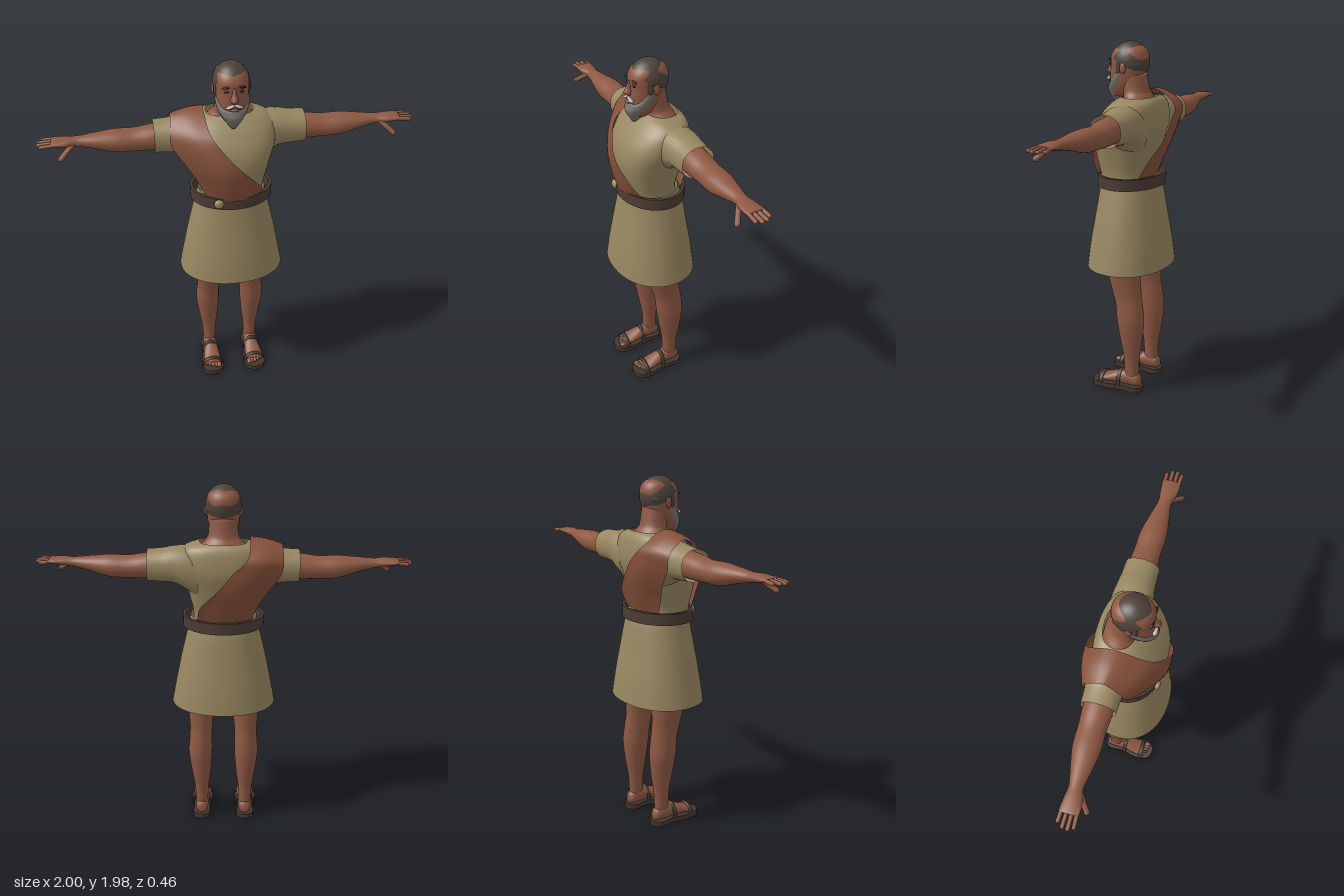
import * as THREE from 'three';
import { toCreasedNormals } from 'three/addons/utils/BufferGeometryUtils.js';

const mat = (name, color, side = THREE.FrontSide) => {
  const m = new THREE.MeshStandardMaterial({ color, side });
  m.name = name;
  return m;
};

// Catmull-Rom through rows of numbers
function smooth(rows, steps) {
  const out = [], last = rows.length - 1;
  for (let i = 0; i < last; i++) {
    const a = rows[Math.max(i - 1, 0)], b = rows[i], c = rows[i + 1], d = rows[Math.min(i + 2, last)];
    for (let s = 0; s < steps; s++) {
      const t = s / steps;
      out.push(b.map((v, k) => {
        const linear = c[k] - a[k];
        const square = 2 * a[k] - 5 * v + 4 * c[k] - d[k];
        const cube = 3 * (v - c[k]) + d[k] - a[k];
        return v + 0.5 * t * (linear + t * (square + t * cube));
      }));
    }
  }
  out.push(rows[last]);
  return out;
}

function buildGeometry(pos, idx) {
  const g = new THREE.BufferGeometry();
  g.setAttribute('position', new THREE.Float32BufferAttribute(pos, 3));
  g.setIndex(idx);
  g.computeVertexNormals();
  return g;
}

// Superellipse rings along an axis; row = [along, centreU, centreV, radiusU, radiusV].
// Axis x: (u,v)=(y,z); axis y: (u,v)=(z,x); axis z: (u,v)=(x,y).
function loft(axis, rows, { n = 2, cap = true, seg = 28, steps = 4 } = {}) {
  const k = 'xyz'.indexOf(axis), rings = smooth(rows, steps), pos = [], idx = [];
  const put = (a, u, v) => {
    const p = [];
    p[k] = a; p[(k + 1) % 3] = u; p[(k + 2) % 3] = v;
    pos.push(...p);
  };
  const pw = (v) => Math.sign(v) * Math.pow(Math.abs(v), 2 / n);
  rings.forEach(([a, u, v, ru, rv], j) => {
    for (let i = 0; i < seg; i++) {
      const t = (i / seg) * Math.PI * 2;
      put(a, u + ru * pw(Math.cos(t)), v + rv * pw(Math.sin(t)));
      if (j === rings.length - 1) continue;
      const p = j * seg + i, q = j * seg + (i + 1) % seg;
      idx.push(p, q, p + seg, q, q + seg, p + seg);
    }
  });
  if (cap) {
    const end = rings.length - 1, c = rings.length * seg;
    put(...rings[0].slice(0, 3));
    put(...rings[end].slice(0, 3));
    for (let i = 0; i < seg; i++) {
      const m = (i + 1) % seg;
      idx.push(c, m, i, c + 1, end * seg + i, end * seg + m);
    }
  }
  return buildGeometry(pos, idx);
}

// Smooth sheet through rows of three points
function sheet(rows) {
  const grid = smooth(rows, 5).map((r) => smooth([r.slice(0, 3), r.slice(3, 6), r.slice(6)], 6));
  const w = grid[0].length, idx = [];
  for (let j = 0; j < grid.length - 1; j++)
    for (let i = 0; i < w - 1; i++) {
      const p = j * w + i;
      idx.push(p, p + 1, p + w, p + 1, p + w + 1, p + w);
    }
  return buildGeometry(grid.flat(2), idx);
}

const ball = (x, y, z, rx, ry, rz, tilt = 0) =>
  new THREE.SphereGeometry(1, 18, 12).scale(rx, ry, rz).rotateZ(tilt).translate(x, y, z);

// Capsule between two points
function rod(from, to, r) {
  const a = new THREE.Vector3(...from), b = new THREE.Vector3(...to), d = b.clone().sub(a);
  const q = new THREE.Quaternion().setFromUnitVectors(new THREE.Vector3(0, 1, 0), d.clone().normalize());
  const mid = a.add(b).multiplyScalar(0.5);
  return new THREE.CapsuleGeometry(r, d.length(), 4, 10).applyQuaternion(q).translate(mid.x, mid.y, mid.z);
}

// Copy reflected across x, with the corner order restored
function mirrored(geo) {
  const g = geo.index ? geo.toNonIndexed() : geo.clone();
  g.scale(-1, 1, 1);
  for (const { array, itemSize: s } of Object.values(g.attributes))
    for (let i = 0; i < array.length; i += 3 * s)
      for (let k = 0; k < s; k++) [array[i + k], array[i + 2 * s + k]] = [array[i + 2 * s + k], array[i + k]];
  return g;
}

export function createModel() {
  const root = new THREE.Group();
  root.name = 'robedMan';
  const skin = mat('skin', 0x8d5843), cloth = mat('tunicCloth', 0x978660, THREE.DoubleSide);
  const sashCloth = mat('sashCloth', 0x85503a, THREE.DoubleSide), beltLeather = mat('beltLeather', 0x4d3c34);
  const sandalLeather = mat('sandalLeather', 0x43372f), hairColor = mat('hair', 0x4e4239);
  const beardColor = mat('greyBeard', 0x76726d), moustacheColor = mat('paleMoustache', 0xb4afa8);
  const brass = mat('brass', 0xa08c5e), dark = mat('eyeDark', 0x2a201b);

  const add = (name, geo, m) => {
    const mesh = new THREE.Mesh(geo, m);
    mesh.name = name;
    root.add(mesh);
  };
  const pair = (name, geo, m) => {
    add('left' + name, geo, m);
    add('right' + name, mirrored(geo), m);
  };

  // Clothing
  add('skirt', loft('y', [[0.75, 0, 0, 0.23, 0.292], [0.88, 0, 0, 0.215, 0.267], [1.03, 0, 0, 0.19, 0.236],
    [1.18, 0, 0, 0.167, 0.2], [1.27, 0.01, 0, 0.15, 0.18]], { cap: false, n: 2.15, seg: 48 }), cloth);
  add('tunicBody', loft('y', [[1.22, 0.01, 0, 0.14, 0.165], [1.28, 0.02, 0, 0.14, 0.165], [1.36, 0.02, 0, 0.16, 0.18],
    [1.45, 0.015, 0, 0.178, 0.203], [1.54, -0.005, 0, 0.178, 0.232], [1.62, -0.028, 0, 0.148, 0.236],
    [1.67, -0.045, 0, 0.115, 0.2], [1.695, -0.05, 0, 0.085, 0.125]], { cap: false, n: 2.4, seg: 48 }), cloth);
  pair('Sleeve', loft('x', [[0.13, 1.53, -0.04, 0.14, 0.12], [0.2, 1.555, -0.05, 0.115, 0.112],
    [0.26, 1.57, -0.055, 0.097, 0.1], [0.33, 1.567, -0.055, 0.088, 0.093], [0.4, 1.567, -0.055, 0.084, 0.09]],
  { cap: false, n: 2.2 }), cloth);

  // Sash: front waist, over the right shoulder, back waist; outer, middle and inner edge
  add('sash', sheet([
    [-0.15, 1.27, 0.12, 0, 1.27, 0.187, 0.155, 1.27, 0.12],
    [-0.19, 1.36, 0.115, -0.04, 1.36, 0.206, 0.13, 1.345, 0.172],
    [-0.245, 1.45, 0.1, -0.1, 1.46, 0.203, 0.03, 1.46, 0.214],
    [-0.315, 1.555, 0.06, -0.18, 1.57, 0.148, -0.06, 1.56, 0.188],
    [-0.318, 1.63, 0.025, -0.22, 1.65, 0.075, -0.125, 1.645, 0.118],
    [-0.31, 1.685, -0.06, -0.22, 1.71, -0.055, -0.14, 1.718, -0.05],
    [-0.315, 1.62, -0.155, -0.22, 1.64, -0.18, -0.13, 1.64, -0.19],
    [-0.3, 1.54, -0.155, -0.17, 1.56, -0.2, -0.05, 1.56, -0.208],
    [-0.235, 1.44, -0.14, -0.1, 1.46, -0.195, 0.03, 1.46, -0.198],
    [-0.19, 1.36, -0.115, -0.04, 1.36, -0.17, 0.12, 1.36, -0.155],
    [-0.15, 1.27, -0.1, 0, 1.27, -0.142, 0.14, 1.27, -0.11]]), sashCloth);

  // Loose belt ring and round buckle
  const ring = new THREE.Shape().absellipse(0, 0, 0.223, 0.178, 0, Math.PI * 2);
  ring.holes.push(new THREE.Path().absellipse(0, 0, 0.207, 0.163, 0, Math.PI * 2, true));
  add('belt', toCreasedNormals(new THREE.ExtrudeGeometry(ring, { depth: 0.064, bevelEnabled: false, curveSegments: 28 })
    .rotateX(-Math.PI / 2).translate(0, 1.212, 0), 0.6), beltLeather);
  add('buckle', ball(-0.09, 1.248, 0.168, 0.026, 0.026, 0.016), brass);

  // Arms and hands
  pair('Arm', loft('x', [[0.2, 1.575, -0.055, 0.075, 0.08], [0.4, 1.563, -0.055, 0.068, 0.076], [0.5, 1.557, -0.055, 0.06, 0.07],
    [0.6, 1.56, -0.052, 0.059, 0.07], [0.7, 1.57, -0.047, 0.041, 0.053], [0.79, 1.577, -0.043, 0.026, 0.036],
    [0.85, 1.582, -0.037, 0.022, 0.046], [0.91, 1.585, -0.038, 0.014, 0.05], [0.925, 1.585, -0.04, 0.009, 0.046]]), skin);
  [[-0.077, 0.965], [-0.05, 0.985], [-0.023, 0.989], [0.003, 0.975]].forEach(([z, tip], i) =>
    pair('Finger' + (i + 1), rod([0.89, 1.586, z * 0.9 - 0.004], [tip, 1.58, z], 0.0105), skin));
  pair('Thumb', rod([0.82, 1.57, -0.012], [0.882, 1.52, 0.033], 0.014), skin);

  // Legs, feet and sandals
  pair('Leg', loft('y', [[0.07, -0.065, 0.128, 0.042, 0.034], [0.2, -0.065, 0.128, 0.046, 0.041], [0.3, -0.065, 0.13, 0.062, 0.055],
    [0.43, -0.06, 0.133, 0.079, 0.068], [0.53, -0.05, 0.13, 0.08, 0.065], [0.6, -0.035, 0.128, 0.085, 0.066],
    [0.7, -0.02, 0.127, 0.097, 0.077], [0.85, -0.005, 0.12, 0.11, 0.095], [1.05, 0, 0.1, 0.12, 0.1]]), skin);
  pair('Foot', loft('z', [[-0.122, 0.128, 0.055, 0.015, 0.018], [-0.105, 0.128, 0.065, 0.034, 0.038], [-0.05, 0.128, 0.072, 0.039, 0.048],
    [0.01, 0.128, 0.065, 0.043, 0.04], [0.07, 0.13, 0.053, 0.05, 0.027], [0.125, 0.13, 0.044, 0.05, 0.016]]), skin);
  for (let i = 0; i < 5; i++)
    pair('Toe' + (i + 1), ball(0.094 + i * 0.0185, 0.043, 0.137 - i * i * 0.002, i ? 0.01 : 0.015, 0.013, 0.023), skin);
  const outline = [[0, 0.135], [0.045, 0.11], [0.046, 0.02], [0.066, -0.09], [0.05, -0.16], [0, -0.18],
    [-0.055, -0.155], [-0.064, -0.08], [-0.046, 0.02], [-0.045, 0.11]];
  const curve = new THREE.CatmullRomCurve3(outline.map(([x, y]) => new THREE.Vector3(x, y, 0)), true);
  const sole = new THREE.Shape(curve.getPoints(48).slice(0, -1).map((p) => new THREE.Vector2(p.x, p.y)));
  pair('Sole', toCreasedNormals(new THREE.ExtrudeGeometry(sole, { depth: 0.03, bevelEnabled: false })
    .rotateX(-Math.PI / 2).translate(0.13, 0, 0), 0.6), sandalLeather);
  [[0.11, 0.06, 0.052], [0.0, 0.05, 0.086]].forEach(([z, w, h], i) =>
    pair('Strap' + (i + 1), new THREE.TorusGeometry(1, 0.1, 6, 24, Math.PI)
      .scale(w, h, 0.125).translate(0.13, 0.024, z), sandalLeather));

  // Neck and head
  add('neck', loft('y', [[1.62, -0.05, 0, 0.09, 0.16], [1.67, -0.045, 0, 0.085, 0.125], [1.7, -0.038, 0, 0.073, 0.095],
    [1.73, -0.025, 0, 0.072, 0.08], [1.82, -0.008, 0, 0.075, 0.075]]), skin);
  add('head', loft('y', [[1.69, 0.06, 0, 0.045, 0.045], [1.72, 0.05, 0, 0.07, 0.065], [1.76, 0.035, 0, 0.086, 0.079],
    [1.8, 0.022, 0, 0.098, 0.085], [1.85, 0.013, 0, 0.103, 0.088], [1.9, 0.01, 0, 0.105, 0.088],
    [1.94, 0.006, 0, 0.086, 0.075], [1.967, 0.004, 0, 0.045, 0.04]], { n: 2.2 }), skin);
  add('hair', new THREE.SphereGeometry(1, 32, 18, 0, Math.PI * 2, 0, Math.PI * 0.53).rotateX(-0.47)
    .scale(0.096, 0.107, 0.106).translate(0, 1.874, 0.009), hairColor);
  add('backHair', ball(0, 1.865, -0.025, 0.087, 0.052, 0.07), hairColor);
  pair('Sideburn', ball(0.081, 1.855, 0.038, 0.012, 0.05, 0.016), hairColor);
  pair('Ear', ball(0.093, 1.845, 0.008, 0.009, 0.03, 0.018), skin);

  // Face
  add('nose', loft('y', [[1.803, 0.113, 0, 0.012, 0.012], [1.82, 0.118, 0, 0.029, 0.021], [1.85, 0.112, 0, 0.021, 0.012],
    [1.885, 0.105, 0, 0.012, 0.01]], { seg: 16 }), skin);
  pair('Eye', ball(0.036, 1.863, 0.107, 0.014, 0.007, 0.006), dark);
  pair('Eyebrow', ball(0.038, 1.886, 0.108, 0.023, 0.006, 0.008, -0.12), dark);
  const beard = loft('y', [[1.655, 0.09, 0, 0.012, 0.012], [1.69, 0.08, 0, 0.045, 0.04], [1.725, 0.07, 0, 0.068, 0.062],
    [1.765, 0.057, 0, 0.074, 0.08], [1.8, 0.045, 0, 0.076, 0.088], [1.83, 0.04, 0, 0.05, 0.088]]);
  // Lower the beard's upper edge towards the mouth
  const bp = beard.attributes.position;
  for (let i = 0; i < bp.count; i++) {
    const y = bp.getY(i), lift = Math.max(0, (y - 1.72) / 0.11);
    bp.setY(i, y - lift * 0.05 * Math.max(0, Math.min(1, (bp.getZ(i) - 0.04) / 0.07)));
  }
  beard.computeVertexNormals();
  add('beard', beard, beardColor);
  add('lips', ball(0, 1.771, 0.128, 0.022, 0.007, 0.01), skin);
  pair('Moustache', ball(0.022, 1.787, 0.122, 0.026, 0.008, 0.013, -0.35), moustacheColor);

  return root;
}
